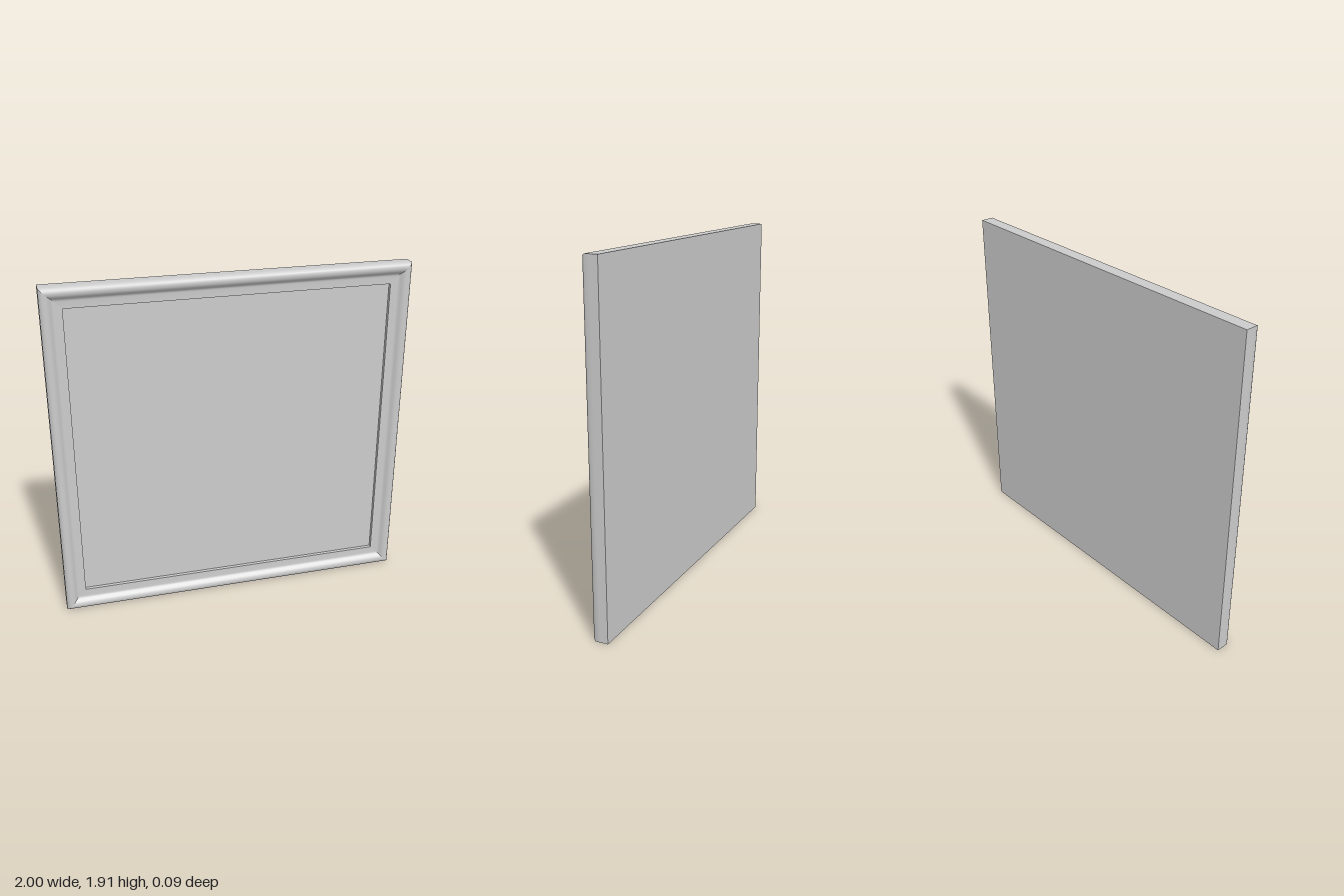
import * as THREE from 'three';
import { toCreasedNormals } from 'three/addons/utils/BufferGeometryUtils.js';

const W = 2, H = 1.91, BACK = -0.045, PANEL = 0;

// Moulding section: [inset from the outer edge, z], outer side to inner step
const PROFILE = [
  [0, PANEL], [0, 0.025], [0.005, 0.033], [0.011, 0.04], [0.02, 0.0445], [0.03, 0.045],
  [0.04, 0.043], [0.049, 0.038], [0.056, 0.031], [0.062, 0.025], [0.068, 0.021],
  [0.076, 0.02], [0.115, 0.02], [0.115, PANEL],
];

// One mitred rail lying along the bottom edge of a frame of the given size
function railGeometry(length, height) {
  const pos = [];
  const point = (side, [inset, z]) => [side * (length / 2 - inset), inset - height / 2, z];
  for (let i = 0; i < PROFILE.length - 1; i++) {
    const a = point(-1, PROFILE[i]), b = point(1, PROFILE[i]);
    const c = point(1, PROFILE[i + 1]), d = point(-1, PROFILE[i + 1]);
    pos.push(...a, ...b, ...c, ...a, ...c, ...d);
  }
  const geo = new THREE.BufferGeometry();
  geo.setAttribute('position', new THREE.Float32BufferAttribute(pos, 3));
  return toCreasedNormals(geo, 0.7);
}

export function createModel() {
  const group = new THREE.Group();
  const material = new THREE.MeshStandardMaterial({ color: 0xcccccc });

  // Flat board: back, sides and recessed front panel
  const panel = new THREE.Mesh(new THREE.BoxGeometry(W, H, PANEL - BACK), material);
  panel.name = 'panel';
  panel.position.set(0, H / 2, (PANEL + BACK) / 2);
  group.add(panel);

  // Four moulded rails, mitred at the corners
  const frame = new THREE.Group();
  frame.name = 'frame';
  frame.position.y = H / 2;
  ['bottomRail', 'leftRail', 'topRail', 'rightRail'].forEach((name, i) => {
    const rail = new THREE.Mesh(i % 2 ? railGeometry(H, W) : railGeometry(W, H), material);
    rail.name = name;
    rail.rotation.z = i * Math.PI / 2;
    frame.add(rail);
  });
  group.add(frame);
  return group;
}
